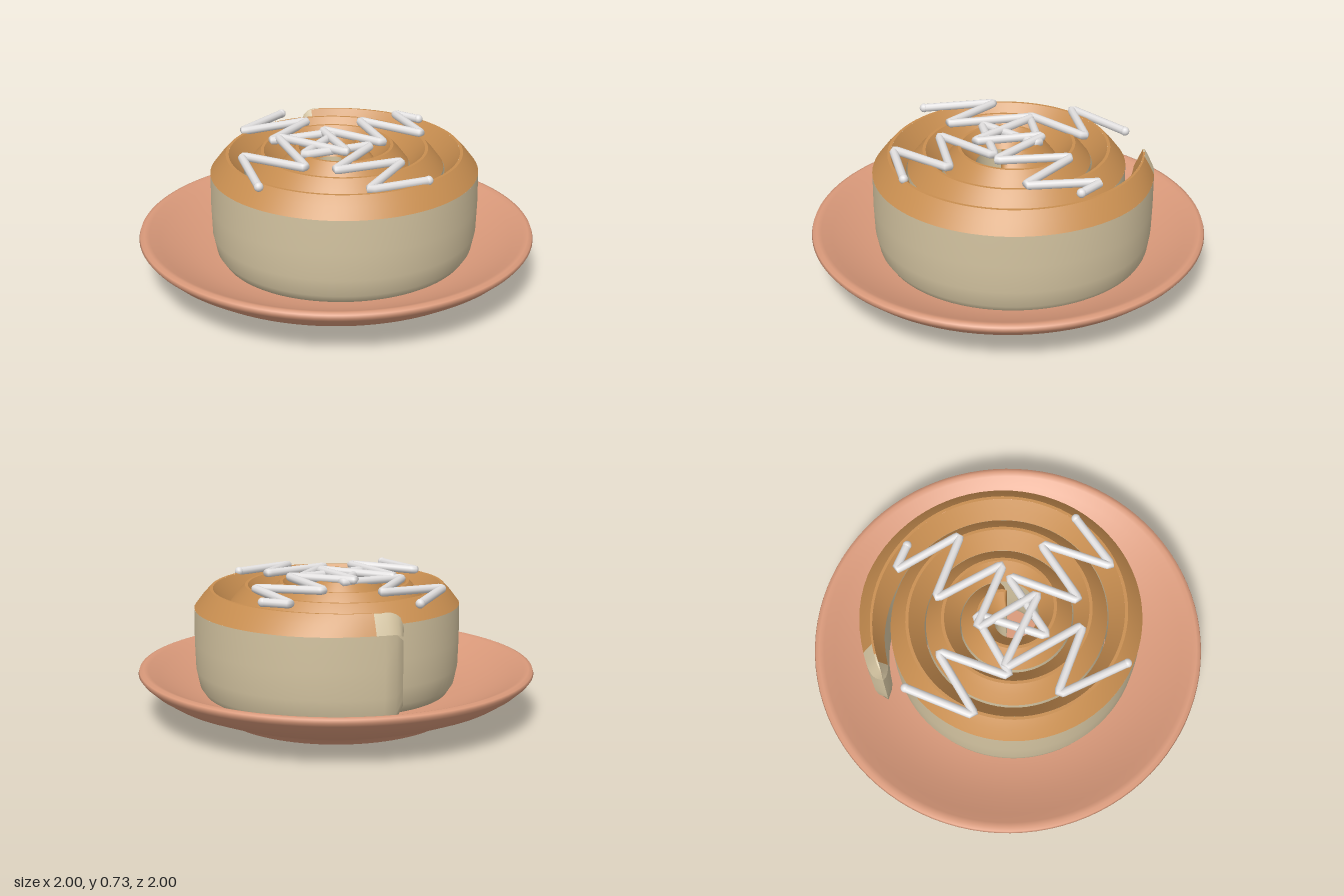
import * as THREE from 'three';

const mat = (name, color) => {
  const m = new THREE.MeshStandardMaterial({ color });
  m.name = name;
  return m;
};

const PITCH = 0.175;      // spiral spacing per turn
const START = 0.08;       // angle of the loose outer end
const END = 20.9;         // angle of the inner end
const HALF = 0.084;       // half width of the dough strip
const STEPS = 260;

// Cross-section loop pieces as [radial offset / half width, height]
const ROOF_OUTER = [[1, 0.56], [0.5, 0.615], [0.06, 0.655]];
const ROOF_PEAK = [[0.06, 0.655], [-0.12, 0.655]];
const ROOF_INNER = [[-0.12, 0.655], [-0.5, 0.615], [-1, 0.56]];
const BODY = [[-1, 0.56], [-1.02, 0.4], [-0.97, 0.26], [-0.75, 0.17], [-0.4, 0.125],
  [0.4, 0.125], [0.75, 0.17], [0.97, 0.26], [1.02, 0.4], [1, 0.56]];

// Point of the coiled strip at angle a for one section point
function doughPoint(a, [u, y]) {
  const turn = a / (Math.PI * 2);
  const q = Math.min(1, (a - START) / 0.12);
  const cap = Math.sqrt(Math.max(0, 1 - (1 - q) ** 2));
  const taper = THREE.MathUtils.lerp(0.6, 1, THREE.MathUtils.smoothstep(a, 0.12, 0.95));
  const inner = Math.min(1, (END - a) / 0.25);
  const innerCap = Math.sqrt(Math.max(0, 1 - (1 - inner) ** 2));
  const r = 0.685 - PITCH * turn + u * HALF * taper * cap * innerCap;
  let h = y > 0.5 ? y + 0.014 * turn : y;
  h = 0.4 + (h - 0.4) * (0.72 + 0.28 * cap);
  return [r * Math.sin(a), h, -r * Math.cos(a)];
}

// Sweep an open piece of the section between two angles
function sweep(section, from, to) {
  const n = section.length;
  const steps = Math.max(8, Math.round(STEPS * (to - from) / (END - START)));
  const pos = [], index = [];
  for (let i = 0; i <= steps; i++) {
    const a = from + (to - from) * i / steps;
    for (const p of section) pos.push(...doughPoint(a, p));
    if (i === steps) break;
    for (let j = 0; j < n - 1; j++) {
      const k = i * n + j;
      index.push(k, k + 1, k + n, k + 1, k + n + 1, k + n);
    }
  }
  const g = new THREE.BufferGeometry();
  g.setAttribute('position', new THREE.Float32BufferAttribute(pos, 3));
  g.setIndex(index);
  g.computeVertexNormals();
  return g;
}

export function createModel() {
  const model = new THREE.Group();
  const clay = mat('plate clay', 0xd9997a);
  const crust = mat('baked crust', 0xc88e50);
  const dough = mat('pale dough', 0xd3c3a0);
  const icing = mat('icing', 0xe2e0e0);

  const add = (name, geometry, material, parent = model) => {
    const mesh = new THREE.Mesh(geometry, material);
    mesh.name = name;
    parent.add(mesh);
    return mesh;
  };

  // Plate: foot ring, flared underside, rolled rim and shallow dish
  const profile = [[0, 0.012], [0.53, 0.012], [0.54, 0.002], [0.57, 0], [0.585, 0.006],
    [0.6, 0.03], [0.64, 0.045], [0.76, 0.085], [0.87, 0.13], [0.94, 0.175], [0.985, 0.215],
    [1, 0.235], [0.995, 0.25], [0.975, 0.257], [0.95, 0.25], [0.9, 0.222], [0.8, 0.175],
    [0.7, 0.142], [0.6, 0.124], [0.5, 0.12], [0, 0.12]];
  add('plate', new THREE.LatheGeometry(profile.map(p => new THREE.Vector2(...p)), 96), clay);

  // Coiled bun: pale sides, browned ridge, pale loose tip
  const bun = new THREE.Group();
  bun.name = 'spiralBun';
  model.add(bun);
  add('doughSides', sweep(BODY, START, END), dough, bun);
  const roofs = [['crustOuterSlope', ROOF_OUTER, 0.3], ['crustRidge', ROOF_PEAK, 0.22],
    ['crustInnerSlope', ROOF_INNER, 0.16]];
  for (const [name, section, split] of roofs) {
    add(name, sweep(section, split, END), crust, bun);
    add(name + 'Tip', sweep(section, START, split), dough, bun);
  }

  // Icing: two zigzag drizzles crossing in the middle, as [x, z] corners
  const drizzles = [
    [0.705, [[-0.08, -0.62], [-0.38, -0.4], [0, -0.4], [-0.3, -0.16], [0.07, -0.15], [-0.22, 0.1],
      [0.16, 0.09], [-0.14, 0.33], [0.23, 0.32], [-0.06, 0.57], [0.26, 0.55]]],
    [0.715, [[-0.52, 0.36], [-0.49, -0.02], [-0.25, 0.28], [-0.25, -0.18], [0, 0.18], [-0.01, -0.19],
      [0.22, 0.11], [0.23, -0.28], [0.47, 0.01], [0.47, -0.37], [0.56, -0.25]]],
  ];
  const RADIUS = 0.021;
  drizzles.forEach(([top, corners], d) => {
    const group = new THREE.Group();
    group.name = 'icingDrizzle' + (d + 1);
    model.add(group);
    const pts = corners.map(([x, z]) => new THREE.Vector3(x, top - 0.1 * (x * x + z * z), z));
    // Straight runs joined by tight rounded bends
    const path = new THREE.CurvePath();
    let last = pts[0];
    for (let i = 1; i < pts.length - 1; i++) {
      const a = pts[i].clone().lerp(pts[i - 1], 0.1);
      const b = pts[i].clone().lerp(pts[i + 1], 0.1);
      path.add(new THREE.LineCurve3(last, a));
      path.add(new THREE.QuadraticBezierCurve3(a, pts[i], b));
      last = b;
    }
    path.add(new THREE.LineCurve3(last, pts[pts.length - 1]));
    add('icingLine', new THREE.TubeGeometry(path, 260, RADIUS, 10), icing, group);
    for (const p of [pts[0], pts[pts.length - 1]]) {
      add('icingEnd', new THREE.SphereGeometry(RADIUS * 1.1, 12, 8), icing, group).position.copy(p);
    }
  });

  return model;
}
